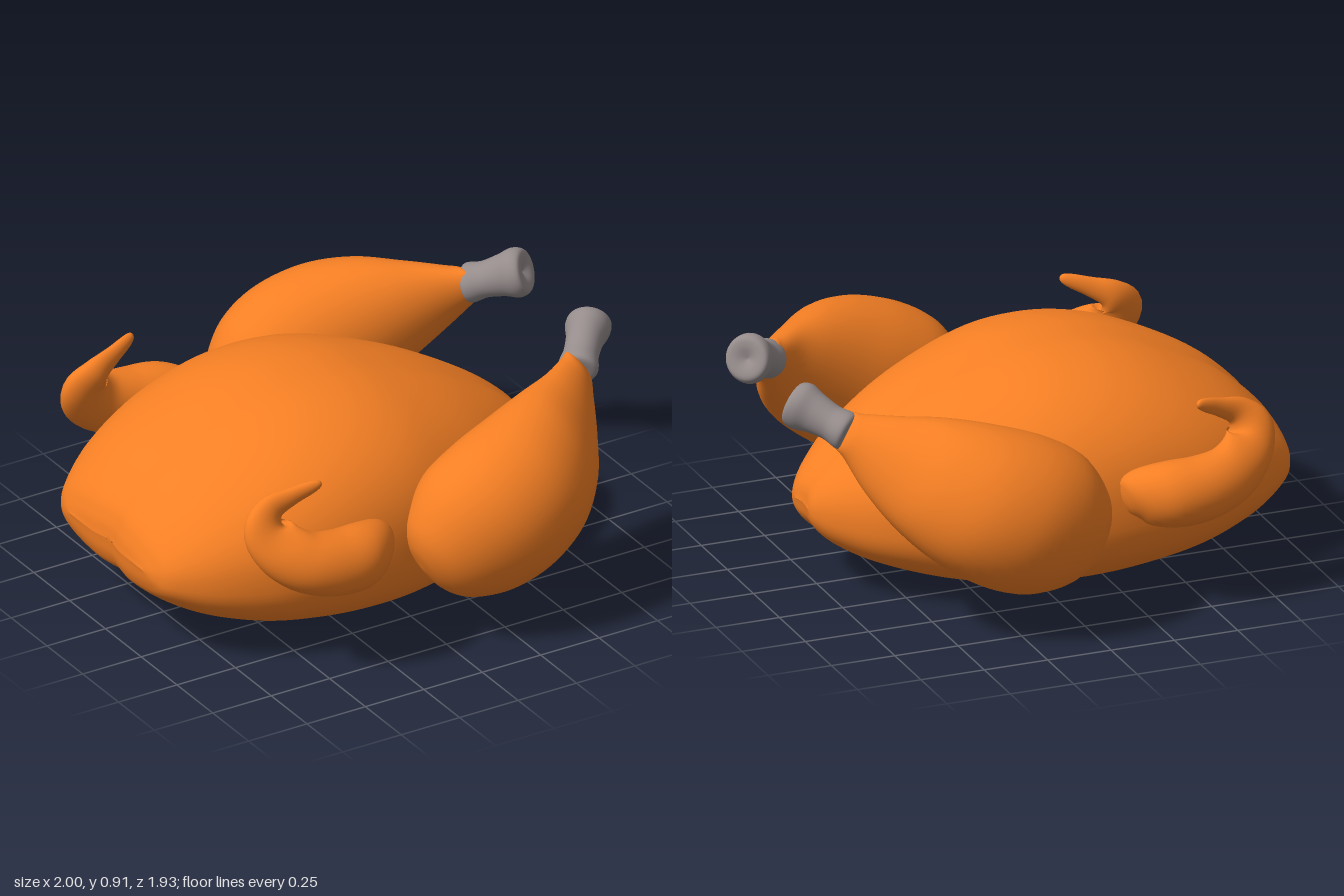
import * as THREE from 'three';
import { mergeVertices } from 'three/addons/utils/BufferGeometryUtils.js';

const skin = new THREE.MeshStandardMaterial({ color: 0xf57f24 });
const bone = new THREE.MeshStandardMaterial({ color: 0x968c8c });
const spow = (v, p) => Math.sign(v) * Math.pow(Math.abs(v), p);

// Smooth closed skin over rows x segs points; point(t, angle) returns a Vector3
function skinGeometry(point, rows, segs, flip) {
  const pos = [], idx = [];
  for (let i = 0; i <= rows; i++)
    for (let j = 0; j < segs; j++)
      pos.push(...point(i / rows, (j / segs) * Math.PI * 2).toArray());
  for (let i = 0; i < rows; i++)
    for (let j = 0; j < segs; j++) {
      const a = i * segs + j, b = i * segs + ((j + 1) % segs), c = a + segs, d = b + segs;
      if (flip) idx.push(a, c, b, b, c, d);
      else idx.push(a, b, c, b, d, c);
    }
  let g = new THREE.BufferGeometry();
  g.setAttribute('position', new THREE.Float32BufferAttribute(pos, 3));
  g.setIndex(idx);
  g = mergeVertices(g, 1e-5);
  g.computeVertexNormals();
  return g;
}

// Curve pair through rows of [x, y, z, radius A, radius B]
function spline(rows) {
  const c = new THREE.CatmullRomCurve3(rows.map(r => new THREE.Vector3(r[0], r[1], r[2])), false, 'catmullrom', 0.5);
  const r = new THREE.CatmullRomCurve3(rows.map(r => new THREE.Vector3(r[3], r[4], 0)), false, 'catmullrom', 0.5);
  return { c, r };
}

// Limb: elliptical sections along a path, either in fixed axes or turning with the path in x/y
function limb(rows, side, axes, fixedTurn) {
  const { c, r } = spline(rows);
  return skinGeometry((t, a) => {
    const p = c.getPoint(t), rad = r.getPoint(t);
    const ra = Math.max(rad.x, 0), rb = Math.max(rad.y, 0);
    let u, v;
    if (axes) [u, v] = axes;
    else {
      const d = fixedTurn || c.getTangent(t);
      const l = Math.hypot(d.x, d.y) || 1;
      u = new THREE.Vector3(-d.y / l, d.x / l, 0);
      v = new THREE.Vector3(0, 0, 1);
    }
    p.addScaledVector(u, Math.cos(a) * ra).addScaledVector(v, Math.sin(a) * rb);
    p.z *= side;
    return p;
  }, 56, 36, side < 0);
}

// Body: rows of [x, top, bottom, half width], rounder above and flatter below
function bodyGeometry() {
  const { c, r } = spline([
    [-1, 0.37, 0.37, 0.24, 0], [-0.985, 0.44, 0.29, 0.32, 0], [-0.94, 0.52, 0.225, 0.4, 0],
    [-0.8, 0.645, 0.14, 0.51, 0], [-0.6, 0.755, 0.07, 0.6, 0], [-0.4, 0.83, 0.03, 0.64, 0],
    [-0.2, 0.86, 0.008, 0.65, 0], [0, 0.845, 0.005, 0.63, 0], [0.2, 0.785, 0.02, 0.57, 0],
    [0.4, 0.7, 0.06, 0.48, 0], [0.6, 0.585, 0.125, 0.345, 0], [0.73, 0.485, 0.195, 0.215, 0],
    [0.8, 0.405, 0.265, 0.115, 0], [0.82, 0.335, 0.335, 0.05, 0]]);
  return skinGeometry((t, a) => {
    const p = c.getPoint(t), w = r.getPoint(t).x;
    const [x, top, bottom] = p.toArray();
    const mid = bottom + (top - bottom) * 0.43;
    const s = Math.cos(a), e = s > 0 ? 2 / 2.25 : 2 / 2.6;
    const z = w * spow(Math.sin(a), e);
    const y = mid + spow(s, e) * (s > 0 ? top - mid : mid - bottom);
    // shallow cleft along the middle
    const cleft = Math.exp(-((z / 0.06) ** 2));
    return new THREE.Vector3(x * (1 - 0.018 * cleft), y + (mid - y) * 0.025 * cleft, z);
  }, 72, 72, false);
}

export function createModel() {
  const model = new THREE.Group();
  model.name = 'roastChicken';
  const add = (name, geometry, material) => {
    const m = new THREE.Mesh(geometry, material);
    m.name = name;
    model.add(m);
  };

  add('body', bodyGeometry(), skin);

  for (const side of [1, -1]) {
    const label = side > 0 ? 'front' : 'back';

    // Fat thigh tapering to the ankle
    add(label + 'Drumstick', limb([
      [-0.07, 0.31, 0.7, 0, 0], [-0.055, 0.32, 0.7, 0.11, 0.09], [0, 0.345, 0.7, 0.2, 0.17],
      [0.12, 0.41, 0.7, 0.28, 0.24], [0.27, 0.485, 0.7, 0.298, 0.265], [0.435, 0.565, 0.67, 0.275, 0.25],
      [0.575, 0.635, 0.6, 0.225, 0.2], [0.685, 0.69, 0.505, 0.158, 0.13],
      [0.765, 0.742, 0.415, 0.092, 0.085], [0.8, 0.762, 0.37, 0.066, 0.064], [0.81, 0.765, 0.36, 0, 0]],
      side, null, new THREE.Vector3(0.87, 0.49, 0)), skin);

    // Bone end with two knobs and a dent between them
    add(label + 'Bone', limb([
      [0.78, 0.75, 0.39, 0, 0], [0.785, 0.753, 0.385, 0.07, 0.071], [0.83, 0.78, 0.335, 0.068, 0.066],
      [0.875, 0.806, 0.287, 0.08, 0.07], [0.91, 0.824, 0.25, 0.094, 0.084],
      [0.935, 0.836, 0.226, 0.08, 0.078], [0.937, 0.838, 0.224, 0.045, 0.045], [0.925, 0.83, 0.235, 0, 0]],
      side, [new THREE.Vector3(-0.2, 0.94, 0.26), new THREE.Vector3(0.75, 0, 0.66)]), bone);

    // Folded wing curling up into a thin tip
    add(label + 'Wing', limb([
      [-0.19, 0.425, 0.63, 0, 0], [-0.205, 0.43, 0.64, 0.06, 0.06], [-0.25, 0.445, 0.675, 0.105, 0.1],
      [-0.34, 0.458, 0.715, 0.124, 0.118], [-0.46, 0.465, 0.725, 0.125, 0.115], [-0.58, 0.497, 0.715, 0.115, 0.1],
      [-0.665, 0.56, 0.68, 0.105, 0.08], [-0.7, 0.635, 0.635, 0.092, 0.055],
      [-0.665, 0.695, 0.61, 0.058, 0.038], [-0.59, 0.73, 0.625, 0.038, 0.026],
      [-0.52, 0.757, 0.645, 0.027, 0.02], [-0.488, 0.77, 0.655, 0.016, 0.013], [-0.478, 0.774, 0.658, 0, 0]],
      side), skin);
  }
  return model;
}
